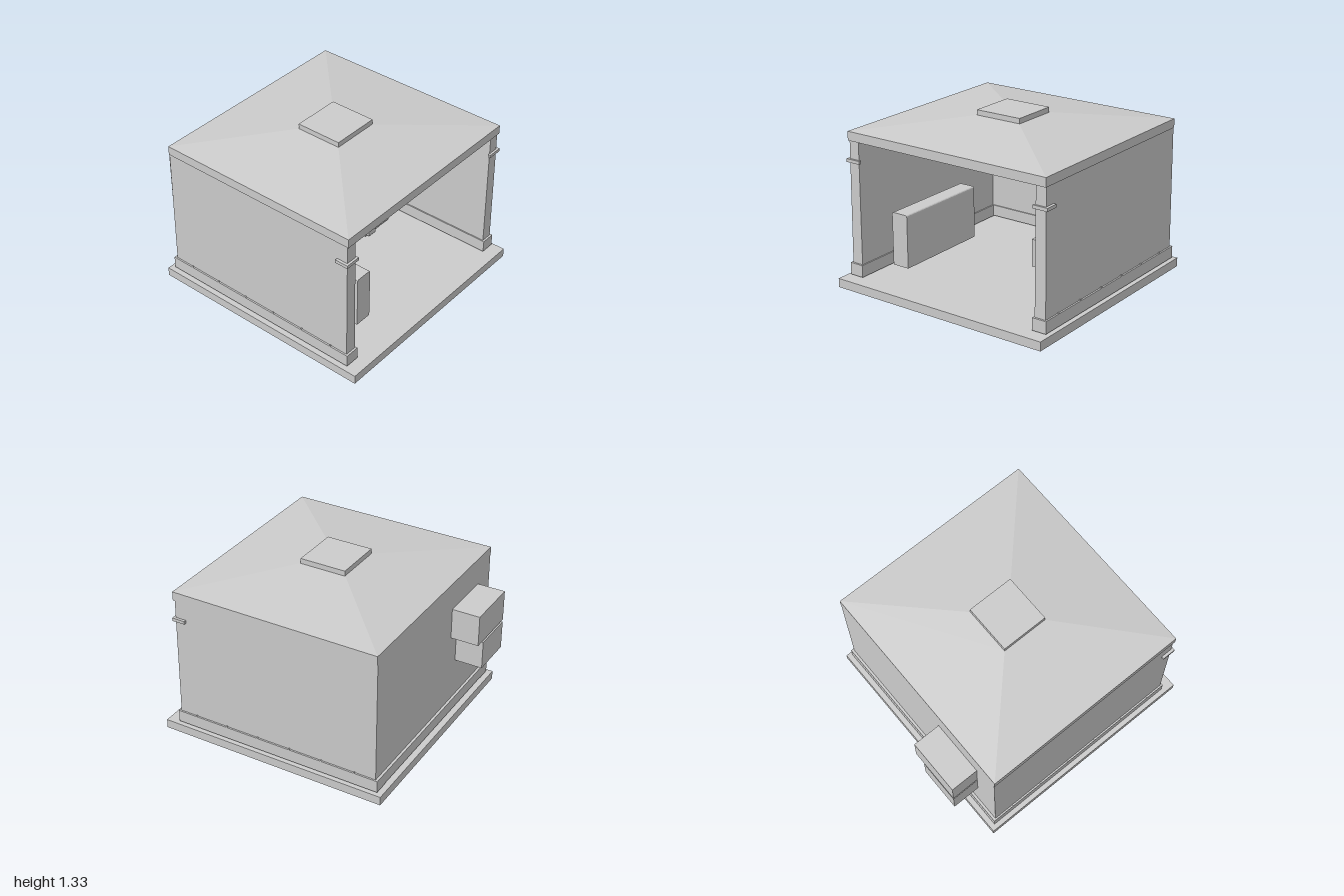
import * as THREE from 'three';

const grey = new THREE.MeshStandardMaterial({ color: 0xcccccc, flatShading: true });

export function createModel() {
  const model = new THREE.Group();

  // Box given by its limits along each axis
  function box(name, x0, x1, y0, y1, z0, z1, parent = model) {
    const mesh = new THREE.Mesh(new THREE.BoxGeometry(x1 - x0, y1 - y0, z1 - z0), grey);
    mesh.position.set((x0 + x1) / 2, (y0 + y1) / 2, (z0 + z1) / 2);
    mesh.name = name;
    parent.add(mesh);
    return mesh;
  }

  // Floor slab
  box('baseSlab', -0.84, 1, 0, 0.07, -0.92, 0.92);

  // Three walls, open towards +x
  box('endWall', -0.78, -0.73, 0.085, 1.14, -0.82, 0.82);
  for (const s of [-1, 1]) {
    const side = new THREE.Group();
    side.name = s > 0 ? 'frontWall' : 'backWall';
    const o = s > 0 ? 0 : -0.01; // the back wall stands slightly further out
    const part = (name, x0, x1, y0, y1, a, b) => {
      const z = [s * a + o, s * b + o].sort((p, q) => p - q);
      return box(name, x0, x1, y0, y1, z[0], z[1], side);
    };
    // Lean the outer face slightly inwards towards the eaves
    const wall = part('wallPanel', -0.78, 0.885, 0.075, 1.14, 0.78, 0.872);
    const p = wall.geometry.attributes.position;
    for (let i = 0; i < p.count; i++) {
      if (p.getY(i) > 0 && p.getZ(i) * s > 0) p.setZ(i, p.getZ(i) - s * 0.008);
      if (p.getY(i) > 0 && p.getX(i) > 0) p.setX(i, p.getX(i) - 0.008);
    }
    part('plinth', -0.8, 0.9, 0.08, 0.175, 0.77, 0.884);
    // Angle bracket around the free wall end
    part('bracketSide', 0.79, 0.895, 0.965, 0.99, 0.865, 0.886);
    part('bracketEnd', 0.875, 0.895, 0.965, 0.99, 0.765, 0.886);
    // Row of fixings above the plinth
    for (let i = 0; i < 6; i++) {
      const x = -0.61 + i * 0.27;
      part('fixing', x - 0.005, x + 0.005, 0.168, 0.182, 0.865, 0.884);
    }
    model.add(side);
  }
  box('endPlinth', -0.8, -0.72, 0.085, 0.175, -0.89, 0.88);

  // Roof: flat ceiling slab, low hipped top and square cap
  box('eaves', -0.78, 0.89, 1.13, 1.2, -0.88, 0.87);
  const hip = box('hipRoof', -0.78, 0.89, 1.2, 1.285, -0.88, 0.87);
  const hp = hip.geometry.attributes.position;
  for (let i = 0; i < hp.count; i++) {
    if (hp.getY(i) < 0) continue;
    hp.setX(i, (hp.getX(i) > 0 ? 0.24 : -0.13) - hip.position.x);
    hp.setZ(i, (hp.getZ(i) > 0 ? 0.19 : -0.19) - hip.position.z);
  }
  hip.geometry.computeVertexNormals();
  box('roofCap', -0.13, 0.24, 1.28, 1.325, -0.195, 0.19);

  // Two stacked cooling units through the end wall
  [[0.735, 0.98, 0.24], [0.49, 0.715, 0.33]].forEach(([y0, y1, z0], i) => {
    const unit = new THREE.Group();
    unit.name = i ? 'lowerCoolingUnit' : 'upperCoolingUnit';
    box('outdoorCasing', -1, -0.76, y0, y1, z0, 0.67, unit);
    box('indoorCasing', -0.76, -0.7, y0, y1, 0.33, 0.63, unit);
    box('grille', -0.71, -0.685, y0 + 0.08, y1 - 0.05, 0.4, 0.62, unit);
    box('controlPanel', -0.71, -0.69, y0 + 0.02, y0 + 0.08, 0.4, 0.57, unit);
    box('sill', -0.76, -0.68, y0, y0 + 0.012, 0.33, 0.63, unit);
    model.add(unit);
  });

  // Long narrow cabinet just inside the opening, with rounded ends
  const s = new THREE.Shape();
  s.moveTo(-0.075, 0);
  s.lineTo(0.065, 0);
  s.lineTo(0.065, 0.4);
  s.quadraticCurveTo(0.065, 0.415, 0.05, 0.415);
  s.lineTo(-0.06, 0.415);
  s.quadraticCurveTo(-0.075, 0.415, -0.075, 0.4);
  const cabinet = new THREE.Mesh(
    new THREE.ExtrudeGeometry(s, { depth: 0.8, bevelEnabled: false, curveSegments: 3 }), grey);
  cabinet.rotation.y = Math.PI / 2;
  cabinet.position.set(-0.05, 0.18, 0.515);
  cabinet.name = 'cabinet';
  model.add(cabinet);

  // Machine standing on the floor further in
  const machine = new THREE.Group();
  machine.name = 'floorMachine';
  box('tallBody', -0.25, 0.02, 0.1, 0.32, -0.32, -0.15, machine);
  box('lowBody', -0.22, 0.1, 0.1, 0.3, -0.615, -0.32, machine);
  box('frontPanel', 0.09, 0.12, 0.1, 0.3, -0.42, -0.34, machine);
  box('topPlate', -0.1, 0.06, 0.3, 0.31, -0.52, -0.36, machine);
  box('handle', -0.1, -0.04, 0.3, 0.365, -0.56, -0.53, machine);
  box('feet', -0.2, 0, 0.07, 0.1, -0.55, -0.2, machine);
  model.add(machine);

  return model;
}
